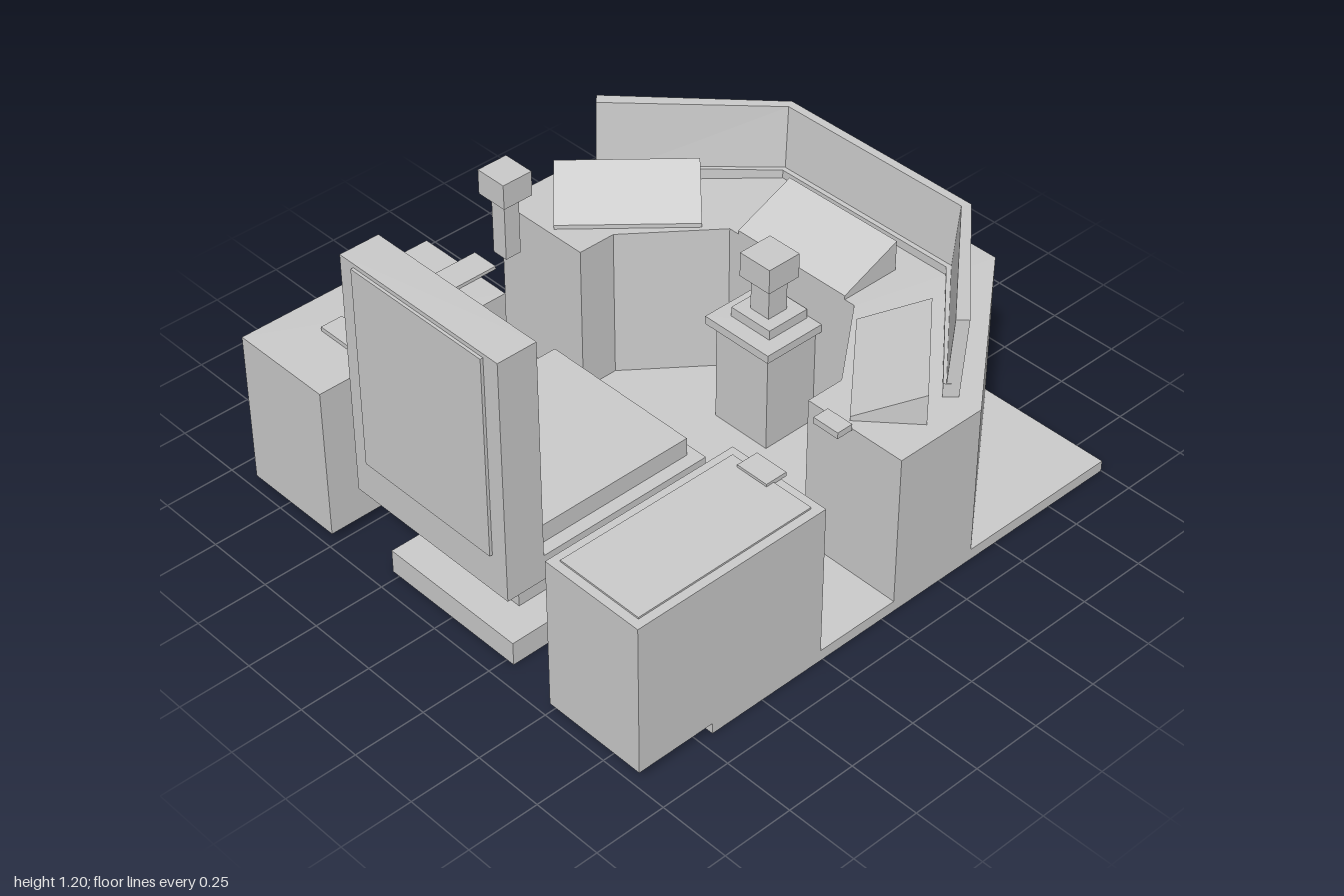
import * as THREE from 'three';

const material = new THREE.MeshStandardMaterial({ color: 0xcccccc, flatShading: true });

export function createModel() {
  const root = new THREE.Group();

  const add = (name, geometry) => {
    const mesh = new THREE.Mesh(geometry, material);
    mesh.name = name;
    root.add(mesh);
    return mesh;
  };

  // Box given by its low and high limits on each axis
  const box = (name, x0, x1, y0, y1, z0, z1) => {
    const mesh = add(name, new THREE.BoxGeometry(x1 - x0, y1 - y0, z1 - z0));
    mesh.position.set((x0 + x1) / 2, (y0 + y1) / 2, (z0 + z1) / 2);
    return mesh;
  };

  // Joins four-cornered cross-sections, running from +x to -x, into a closed solid.
  // Corner order: back bottom, back top, front top, front bottom.
  const loft = (sections) => {
    const pos = [];
    const quad = (a, b, c, d) => pos.push(...a, ...b, ...c, ...a, ...c, ...d);
    for (let s = 0; s < sections.length - 1; s++) {
      const p = sections[s], q = sections[s + 1];
      for (let i = 0; i < 4; i++) {
        const j = (i + 1) % 4;
        quad(p[i], q[i], q[j], p[j]);
      }
    }
    quad(...sections[0]);
    quad(...[...sections[sections.length - 1]].reverse());
    const geometry = new THREE.BufferGeometry();
    geometry.setAttribute('position', new THREE.Float32BufferAttribute(pos, 3));
    geometry.computeVertexNormals();
    return geometry;
  };

  // Adds the mirrored cross-sections of the -x side
  const mirrored = (half) => [
    ...half,
    ...[...half].reverse().map((sec) => sec.map(([x, y, z]) => [-x, y, z])),
  ];

  // Floor
  box('floor', -0.885, 0.885, 0, 0.04, -1, 0.7);

  // Wrap-around main console
  const outline = [
    [0.885, -0.05], [0.885, -0.39], [0.405, -0.98], [-0.405, -0.98], [-0.885, -0.39], [-0.885, -0.05],
    [-0.505, -0.05], [-0.505, -0.19], [-0.275, -0.48], [0.275, -0.48], [0.505, -0.19], [0.505, -0.05],
  ];
  const shape = new THREE.Shape(outline.map(([x, z]) => new THREE.Vector2(x, -z)));
  const consoleGeometry = new THREE.ExtrudeGeometry(shape, { depth: 0.55, bevelEnabled: false });
  consoleGeometry.rotateX(-Math.PI / 2);
  add('mainConsole', consoleGeometry).position.y = 0.04;

  // Outward-leaning screen wall and the ledge along its foot
  add('screenWall', loft(mirrored([
    [[0.8, 0.59, -0.385], [0.81, 0.875, -0.4], [0.78, 0.875, -0.37], [0.77, 0.59, -0.355]],
    [[0.38, 0.59, -0.845], [0.39, 0.843, -0.865], [0.375, 0.843, -0.835], [0.365, 0.59, -0.815]],
  ])));
  add('wallLedge', loft(mirrored([
    [[0.785, 0.59, -0.37], [0.785, 0.64, -0.37], [0.765, 0.64, -0.35], [0.765, 0.59, -0.35]],
    [[0.37, 0.59, -0.825], [0.37, 0.62, -0.825], [0.36, 0.62, -0.8], [0.36, 0.59, -0.8]],
  ])));

  // Three sloped displays
  const wedge = loft([0.235, -0.235].map((x) => [
    [x, 0, -0.113], [x, 0.11, -0.113], [x, 0.015, 0.113], [x, 0, 0.113],
  ]));
  for (const [name, x, z, turn] of [
    ['centreDisplay', 0, -0.592, 0],
    ['leftDisplay', 0.582, -0.322, -0.84],
    ['rightDisplay', -0.582, -0.322, 0.84],
  ]) {
    const display = add(name, wedge);
    display.position.set(x, 0.59, z);
    display.rotation.y = turn;
  }

  // Side consoles
  for (const [name, x] of [['leftSideConsole', 0.505], ['rightSideConsole', -0.885]]) {
    box(name, x, x + 0.38, 0.04, 0.59, 0.26, 0.985);
  }
  box('leftConsolePanel', 0.535, 0.855, 0.59, 0.596, 0.29, 0.955);
  box('leftConsoleSwitch', 0.585, 0.705, 0.59, 0.605, 0.24, 0.32);
  box('leftFrontSwitch', 0.59, 0.69, 0.59, 0.613, -0.045, 0.015);
  box('throttleTrack', -0.72, -0.62, 0.59, 0.602, 0.2, 0.6);
  box('throttleSlider', -0.73, -0.63, 0.6, 0.613, 0.42, 0.48);
  box('rightConsoleSwitch', -0.745, -0.62, 0.59, 0.605, 0.71, 0.79);

  // Throttle lever
  box('throttleStem', -0.7, -0.64, 0.585, 0.81, 0.08, 0.14);
  box('throttleGrip', -0.73, -0.61, 0.805, 0.895, 0.05, 0.165);

  // Centre control stick on its pedestal
  box('stickPedestal', -0.115, 0.115, 0.04, 0.41, -0.49, -0.27);
  box('stickTopPlate', -0.14, 0.14, 0.41, 0.44, -0.485, -0.245);
  box('stickMount', -0.085, 0.085, 0.44, 0.475, -0.47, -0.305);
  box('stickStem', -0.04, 0.04, 0.475, 0.61, -0.425, -0.345);
  box('stickGrip', -0.065, 0.065, 0.6, 0.69, -0.45, -0.32);

  // Seat
  box('seatBase', -0.28, 0.28, 0, 0.085, 0.365, 0.93);
  box('seatColumn', -0.17, 0.17, 0.085, 0.33, 0.475, 0.81);
  box('seatPan', -0.34, 0.34, 0.33, 0.42, 0.21, 0.99);
  box('seatCushion', -0.295, 0.295, 0.42, 0.485, 0.245, 0.85);
  box('seatBack', -0.34, 0.34, 0.42, 1.197, 0.85, 0.99);
  box('backCushion', -0.28, 0.28, 0.61, 1.17, 0.835, 0.855);
  box('lumbarCushion', -0.28, 0.28, 0.485, 0.62, 0.8, 0.855);
  box('rearSeatPanel', -0.28, 0.28, 0.47, 1.183, 0.985, 1);

  return root;
}
